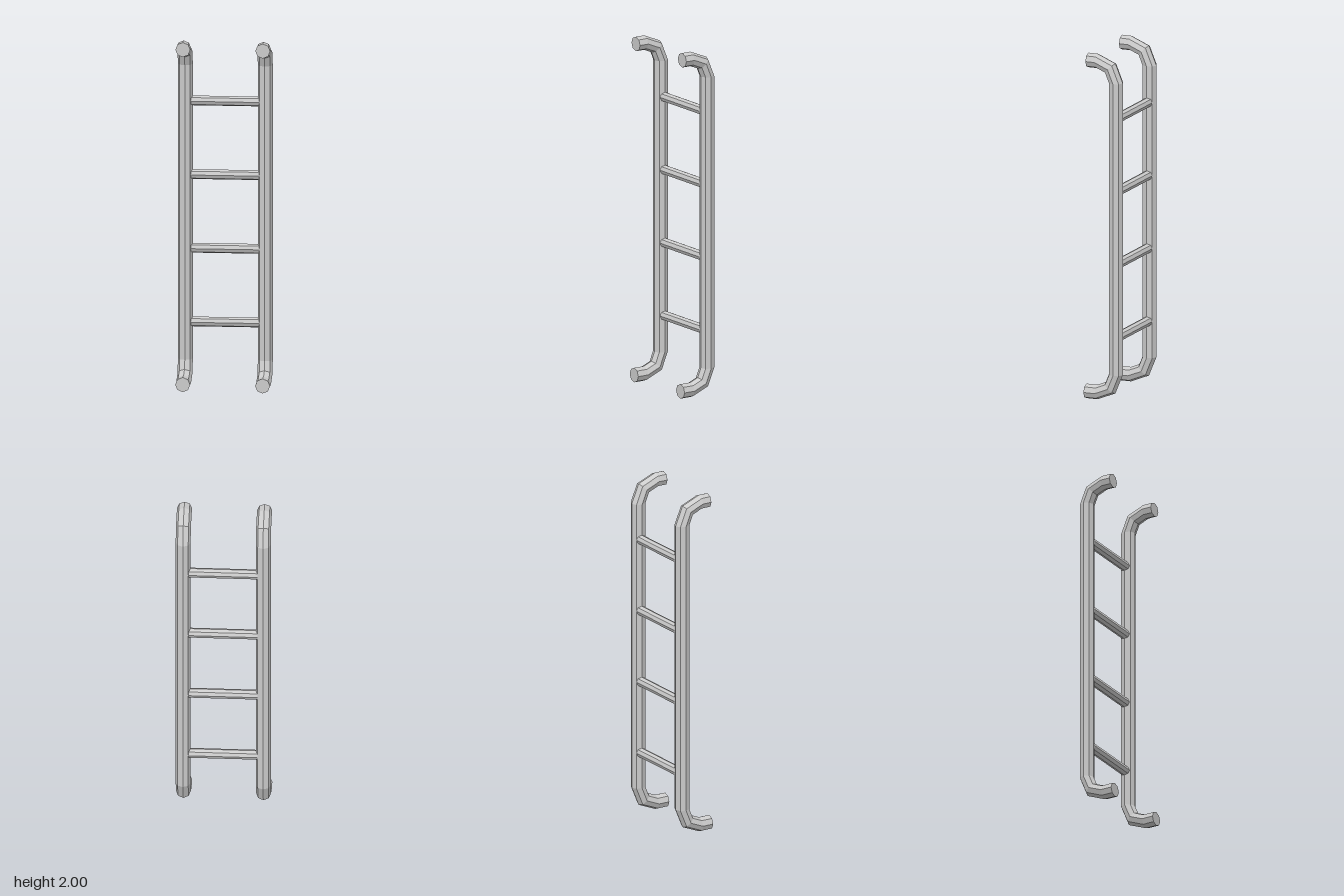
import * as THREE from 'three';

const SIDES = 8, RAIL_X = 0.225, RAIL_R = 0.042, RAIL_Z = -0.07, BEND_R = 0.114;

// Octagonal tube swept through stations { z, y, a }; a is the heading, turning from -z (0) to -y (PI/2) to +z (PI)
function sweptTube(stations, radius) {
  const pos = [], index = [];
  for (const { z, y, a } of stations) {
    for (let i = 0; i < SIDES; i++) {
      const t = (i / SIDES) * Math.PI * 2;
      const out = Math.cos(t) * radius;
      pos.push(Math.sin(t) * radius, y + out * Math.cos(a), z - out * Math.sin(a));
    }
  }
  for (let s = 0; s < stations.length - 1; s++) {
    for (let i = 0; i < SIDES; i++) {
      const j = (i + 1) % SIDES;
      const p = s * SIDES + i, q = s * SIDES + j;
      index.push(p, q, p + SIDES, q, q + SIDES, p + SIDES);
    }
  }
  // End caps
  const last = (stations.length - 1) * SIDES;
  for (let i = 1; i < SIDES - 1; i++) {
    index.push(0, i + 1, i, last, last + i, last + i + 1);
  }
  const geo = new THREE.BufferGeometry();
  geo.setAttribute('position', new THREE.Float32BufferAttribute(pos, 3));
  geo.setIndex(index);
  const flat = geo.toNonIndexed();
  flat.computeVertexNormals();
  return flat;
}

export function createModel() {
  const group = new THREE.Group();
  const material = new THREE.MeshStandardMaterial({ color: 0xcccccc, flatShading: true });

  // Rail path: top hook, two-segment bend, upright, two-segment bend, bottom hook
  const bendZ = RAIL_Z + BEND_R;
  const topY = 2 - RAIL_R - BEND_R, bottomY = RAIL_R + BEND_R;
  const bend = (y, a) => ({ z: bendZ - Math.sin(a) * BEND_R, y: y + Math.cos(a) * BEND_R, a });
  const path = [{ z: 0.1, y: 2 - RAIL_R, a: 0 }];
  for (let k = 0; k <= 2; k++) path.push(bend(topY, k * Math.PI / 4));
  for (let k = 2; k <= 4; k++) path.push(bend(bottomY, k * Math.PI / 4));
  path.push({ z: 0.112, y: RAIL_R, a: Math.PI });

  const railGeo = sweptTube(path, RAIL_R);
  for (const [name, side] of [['leftRail', 1], ['rightRail', -1]]) {
    const rail = new THREE.Mesh(railGeo, material);
    rail.name = name;
    rail.position.x = side * RAIL_X;
    group.add(rail);
  }

  // Rungs, with ends sunk into the rails
  const rungGeo = new THREE.CylinderGeometry(0.028, 0.028, 0.4, SIDES);
  rungGeo.rotateZ(Math.PI / 2);
  for (let i = 0; i < 4; i++) {
    const rung = new THREE.Mesh(rungGeo, material);
    rung.name = `rung${i + 1}`;
    rung.position.set(0, 0.368 + i * 0.422, -0.072);
    group.add(rung);
  }
  return group;
}
